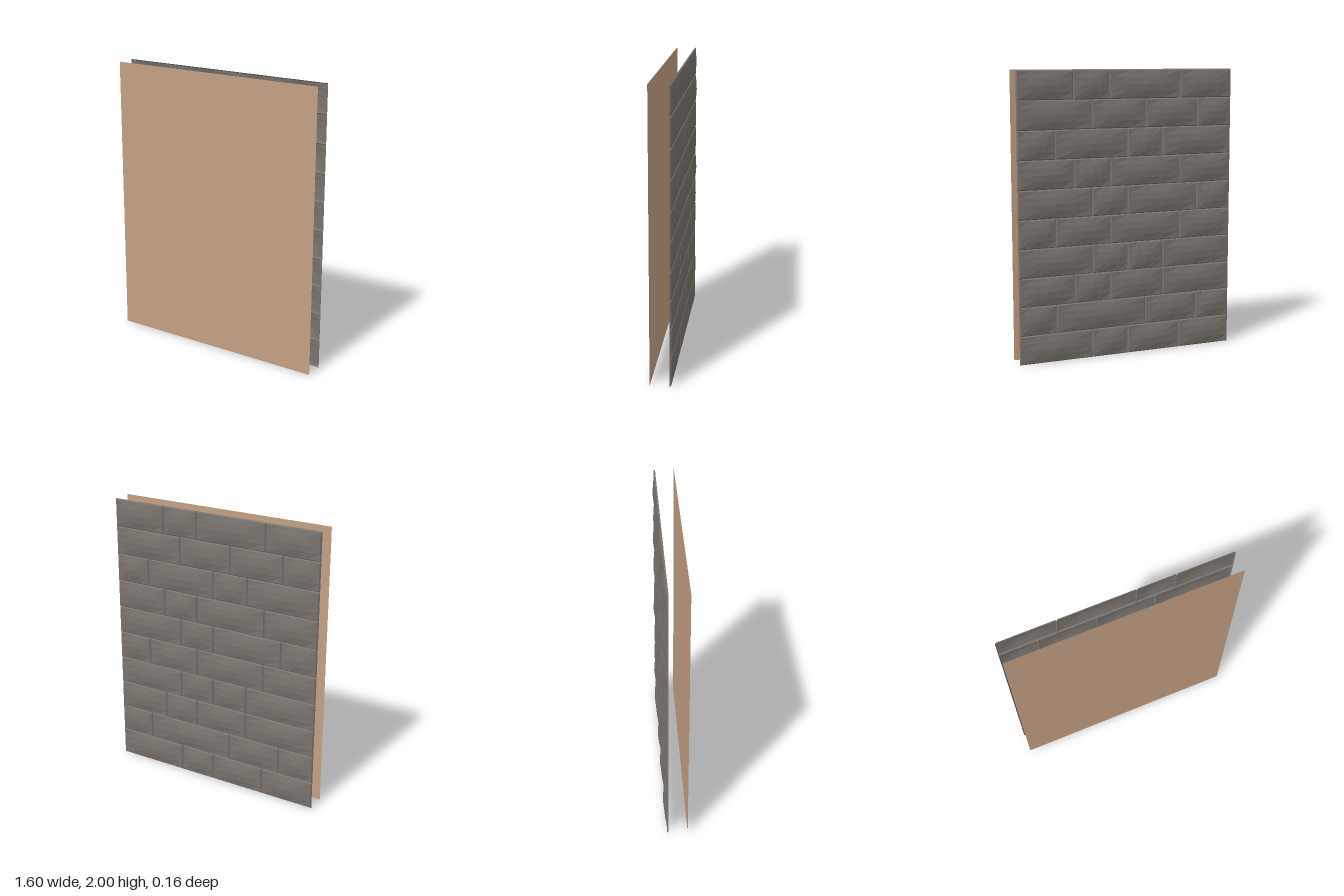
import * as THREE from 'three';

const WIDTH = 1.6, HEIGHT = 2, ROW = 0.2, UNIT = WIDTH / 12;
const GROOVE = 0.007;                       // half width of a joint
const BASE = 0.053, RIM = 0.063, PEAK = 0.08; // depths behind the centre
const SEGMENTS = 4;

// Joints of each course from the top, in twelfths counted from the +x edge
const COURSES = [
  [3, 5, 9], [4, 7, 10], [2, 6, 8], [3, 5, 9], [4, 6, 10],
  [2, 5, 9], [4, 6, 8], [3, 5, 8], [2, 7, 10], [4, 6, 9],
];

// One open brick shell facing -z: joint ring, raised rim, cushioned face
function brickGeometry(width, height) {
  const n = SEGMENTS + 2;
  const geometry = new THREE.PlaneGeometry(1, 1, n, n);
  const p = geometry.attributes.position;
  const along = (i, size) => {
    if (i === 0) return -size / 2;
    if (i === n) return size / 2;
    return ((i - 1) / SEGMENTS - 0.5) * (size - 2 * GROOVE);
  };
  const swell = (i) => Math.sin(Math.PI * (i - 1) / SEGMENTS);
  for (let k = 0; k < p.count; k++) {
    const i = k % (n + 1), j = Math.floor(k / (n + 1));
    const outer = i === 0 || j === 0 || i === n || j === n;
    const depth = outer ? BASE : RIM + (PEAK - RIM) * swell(i) * swell(j);
    p.setXYZ(k, -along(i, width), -along(j, height), -depth);
  }
  const flat = geometry.toNonIndexed();
  flat.computeVertexNormals();
  return flat;
}

export function createModel() {
  const plaster = new THREE.MeshStandardMaterial({ color: 0xc4a084, side: THREE.DoubleSide });
  plaster.name = 'tan plaster';
  const stone = new THREE.MeshStandardMaterial({ color: 0x79736d, side: THREE.DoubleSide, flatShading: true });
  stone.name = 'grey stone';

  const model = new THREE.Group();
  model.name = 'wallSection';

  // Smooth inner face
  const panel = new THREE.Mesh(new THREE.PlaneGeometry(WIDTH, HEIGHT), plaster);
  panel.name = 'innerPanel';
  panel.position.set(0, HEIGHT / 2, PEAK);
  model.add(panel);

  // Brick outer face, course by course
  const bricks = new THREE.Group();
  bricks.name = 'outerBricks';
  COURSES.forEach((joints, row) => {
    const stops = [0, ...joints, 12];
    for (let i = 0; i + 1 < stops.length; i++) {
      const width = (stops[i + 1] - stops[i]) * UNIT;
      const brick = new THREE.Mesh(brickGeometry(width, ROW), stone);
      brick.name = 'brick';
      brick.position.set(WIDTH / 2 - stops[i] * UNIT - width / 2, HEIGHT - (row + 0.5) * ROW, 0);
      bricks.add(brick);
    }
  });
  model.add(bricks);
  return model;
}
